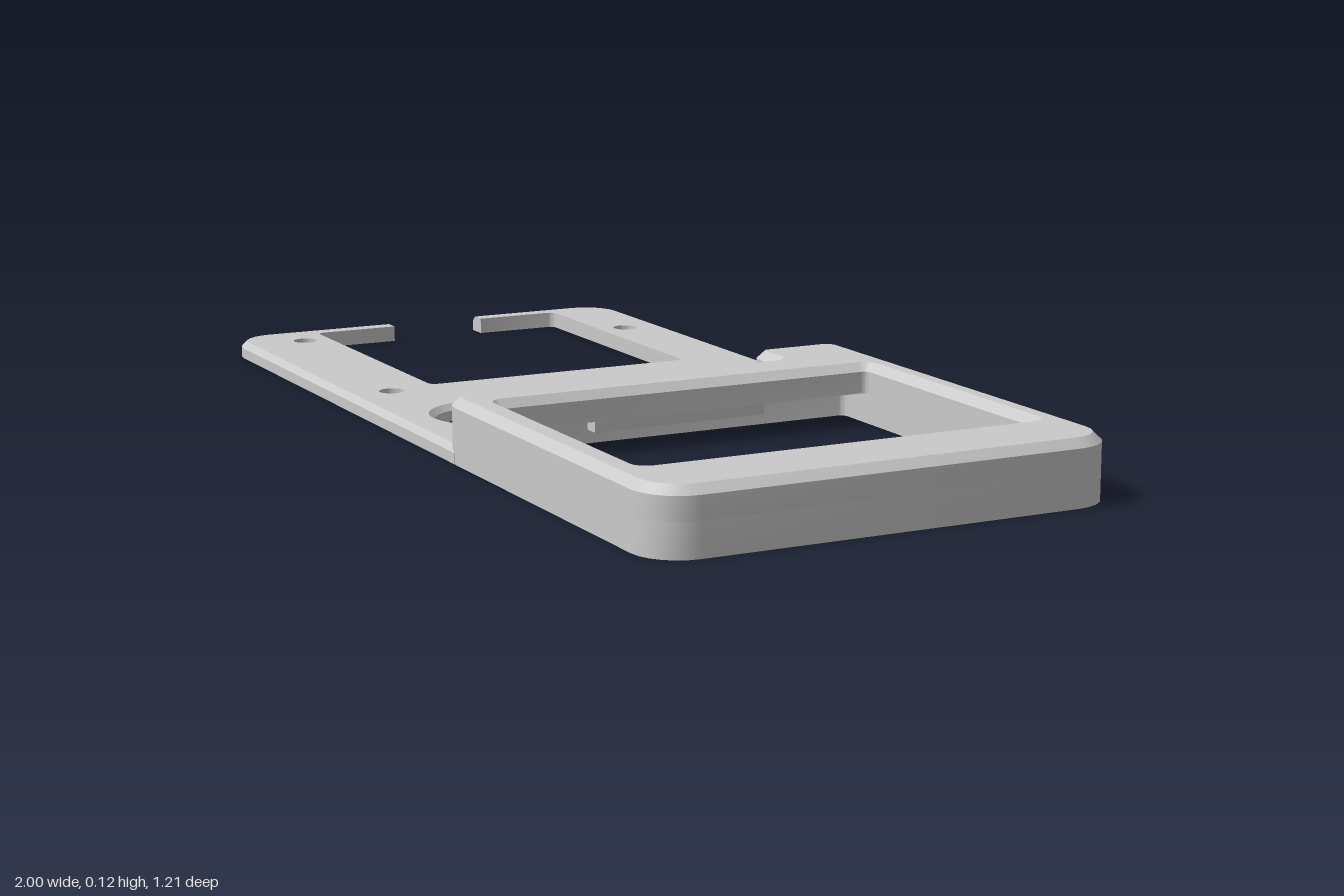
import * as THREE from 'three';
import { toCreasedNormals } from 'three/addons/utils/BufferGeometryUtils.js';

// Axis-aligned outline with rounded corners. Each corner is [x, y, radius, chamfered],
// where chamfered tells whether the edge leaving that corner moves by the inset.
function outline(corners, inset) {
  const pts = [], n = corners.length;
  for (let i = 0; i < n; i++) {
    const [x, y, r, e] = corners[i];
    const p = corners[(i + n - 1) % n], q = corners[(i + 1) % n];
    const a = new THREE.Vector2(x - p[0], y - p[1]).normalize();
    const b = new THREE.Vector2(q[0] - x, q[1] - y).normalize();
    const da = inset * p[3], db = inset * e;
    const c = new THREE.Vector2(x - a.y * da - b.y * db, y + a.x * da + b.x * db);
    if (!r) { pts.push(c); continue; }
    const turn = Math.sign(a.cross(b));
    const rad = Math.max(0.002, r - turn * Math.min(da, db));
    const steps = r > 0.09 ? 12 : 6;
    const centre = c.clone().addScaledVector(a, -rad).addScaledVector(b, rad);
    for (let k = 0; k <= steps; k++) {
      const t = (k / steps) * Math.PI / 2;
      pts.push(centre.clone().addScaledVector(b, -rad * Math.cos(t)).addScaledVector(a, rad * Math.sin(t)));
    }
  }
  // Neighbouring arcs of a full circle share their end points
  return pts.filter((p, i) => p.distanceTo(pts[(i + 1) % pts.length]) > 1e-6);
}

// Clockwise rectangular opening; a full radius makes it a circle
const opening = (x0, x1, y0, y1, r, e) => [[x0, y0, r, e], [x0, y1, r, e], [x1, y1, r, e], [x1, y0, r, e]];
const round = (x, y, r, e) => opening(x - r, x + r, y - r, y + r, r, e);

// Closed solid through levels of [height, inset]
function solid(name, outer, holes, levels, material) {
  const pos = [];
  const put = (p, h) => pos.push(p.x, h, -p.y);
  const loops = [outer, ...holes];
  for (const loop of loops) {
    for (let l = 0; l + 1 < levels.length; l++) {
      const [h0, d0] = levels[l], [h1, d1] = levels[l + 1];
      const A = outline(loop, d0), B = outline(loop, d1);
      A.forEach((a, i) => {
        const j = (i + 1) % A.length;
        put(a, h0); put(A[j], h0); put(B[j], h1);
        put(a, h0); put(B[j], h1); put(B[i], h1);
      });
    }
  }
  [levels[0], levels[levels.length - 1]].forEach(([h, d], top) => {
    const rings = loops.map((loop) => outline(loop, d));
    const faces = THREE.ShapeUtils.triangulateShape(rings[0], rings.slice(1));
    const all = rings.flat();
    for (const f of faces) {
      (top ? f : [f[0], f[2], f[1]]).forEach((k) => put(all[k], h));
    }
  });
  const geo = new THREE.BufferGeometry();
  geo.setAttribute('position', new THREE.Float32BufferAttribute(pos, 3));
  geo.computeVertexNormals();
  const mesh = new THREE.Mesh(toCreasedNormals(geo, 0.5), material);
  mesh.name = name;
  return mesh;
}

export function createModel() {
  const grey = new THREE.MeshStandardMaterial({ color: 0xcacaca });
  grey.name = 'grey plastic';
  const model = new THREE.Group();
  model.name = 'coverPlate';
  const W = 0.946, D = 0.427;

  // Thin plate, with its large window open through a gap in the end rim
  const plate = [
    [-W, -D, 0.08, 1], [0.2, -D, 0, 0], [0.2, -0.385, 0, 0], [0.15, -0.385, 0, 0],
    [0.15, 0.385, 0, 0], [0.2, 0.385, 0, 0], [0.2, D, 0, 1], [-W, D, 0.08, 1],
    [-W, 0.118, 0, 0], [-0.905, 0.118, 0, 0], [-0.905, 0.289, 0.015, 0], [-0.311, 0.289, 0.015, 0],
    [-0.311, -0.252, 0.015, 0], [-0.905, -0.252, 0.015, 0], [-0.905, -0.08, 0, 0], [-W, -0.08, 0, 1],
  ];
  const hiddenScrew = round(0.113, 0.353, 0.024, 0);
  const plateHoles = [
    round(-0.067, 0.043, 0.137, 1), round(-0.033, -0.259, 0.096, 1),
    round(-0.676, 0.346, 0.024, 0), round(-0.839, -0.304, 0.024, 0),
    round(-0.289, -0.341, 0.024, 0), hiddenScrew,
  ];
  model.add(solid('plate', plate, plateHoles, [[0, 0], [0.02, 0], [0.031, 0.011]], grey));

  // Raised frame with a corner ear, hollow from below
  const frame = [
    [0.135, -D, 0.07, 1], [W, -D, 0.08, 1], [W, D, 0.08, 1],
    [0.035, D, 0.035, 1], [0.035, 0.25, 0.025, 1], [0.135, 0.25, 0.015, 1],
  ];
  const pocket = opening(0.155, 0.905, -0.372, 0.38, 0.015, 0);
  model.add(solid('frameWalls', frame, [pocket, hiddenScrew], [[0, 0], [0.06, 0]], grey));
  const window = opening(0.248, 0.781, -0.363, 0.371, 0.012, 1);
  model.add(solid('frameTop', frame, [window], [[0.06, 0], [0.1, 0], [0.115, 0.016]], grey));

  // Retaining ribs under the frame top
  for (const [x, length] of [[0.21, 0.34], [0.845, 0.46]]) {
    const rib = new THREE.Mesh(new THREE.BoxGeometry(0.03, 0.03, length), grey);
    rib.position.set(x, 0.05, 0);
    rib.name = 'retainingRib';
    model.add(rib);
  }

  model.rotation.y = -THREE.MathUtils.degToRad(12.5);
  const root = new THREE.Group();
  root.add(model);
  return root;
}
